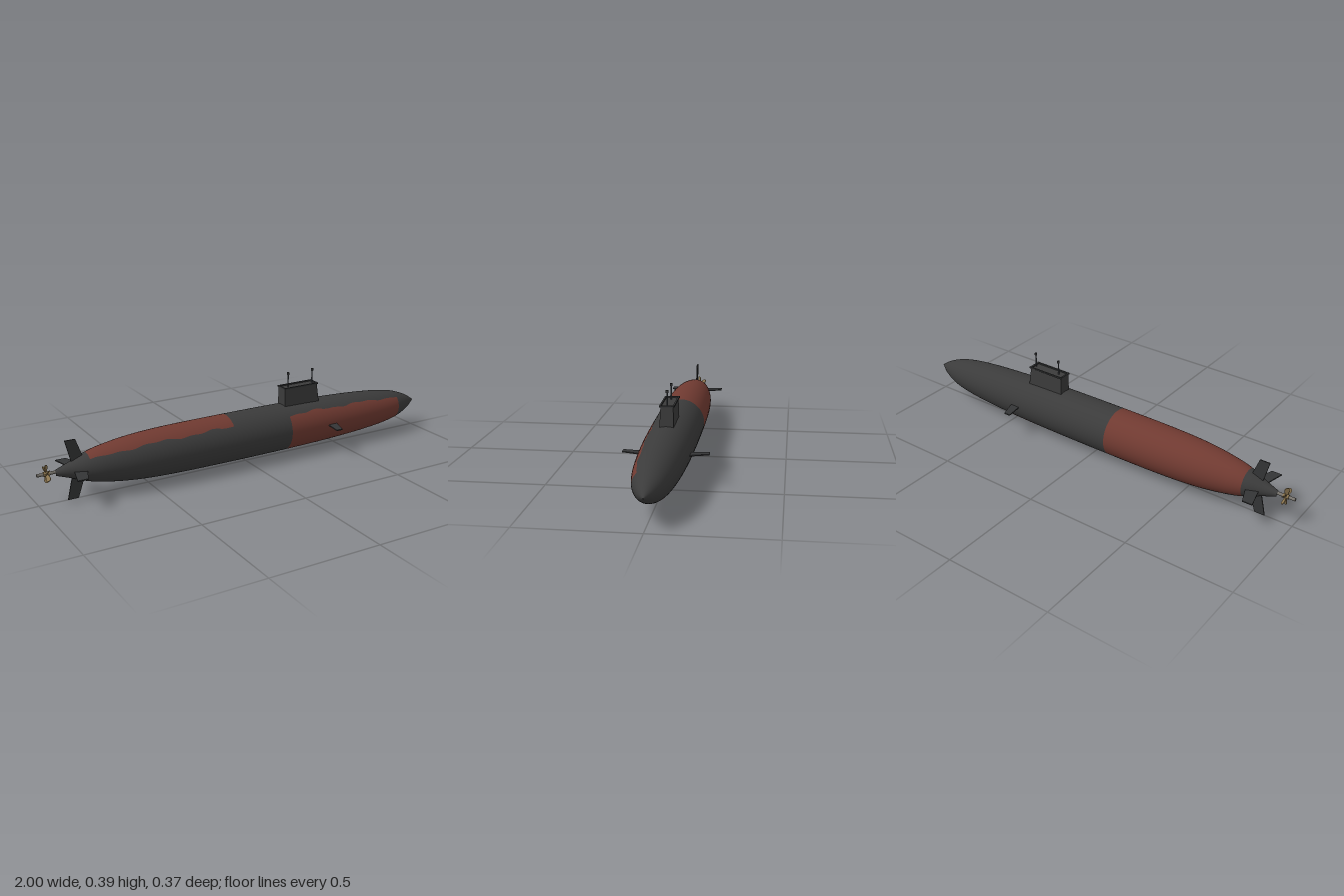
import * as THREE from 'three';
import { ParametricGeometry } from 'three/addons/geometries/ParametricGeometry.js';

const AXIS = 0.133; // height of the hull centreline
const PI = Math.PI;

// hull profile: [x, radius]
const PROFILE = [
  [-0.92, 0.012], [-0.86, 0.033], [-0.79, 0.06], [-0.72, 0.078], [-0.58, 0.098], [-0.4, 0.108], [-0.1, 0.111],
  [0.2, 0.11], [0.45, 0.105], [0.7, 0.091], [0.85, 0.07], [0.94, 0.038], [1.0, 0.0005],
];

// smooth radius between profile points
function radius(x) {
  const p = PROFILE, n = p.length;
  let i = 0;
  while (i < n - 2 && x > p[i + 1][0]) i++;
  const slope = (k) => {
    const a = p[Math.max(k - 1, 0)], b = p[Math.min(k + 1, n - 1)];
    return (b[1] - a[1]) / (b[0] - a[0]);
  };
  const h = p[i + 1][0] - p[i][0];
  const t = (x - p[i][0]) / h, t2 = t * t, t3 = t2 * t;
  return (2 * t3 - 3 * t2 + 1) * p[i][1] + (t3 - 2 * t2 + t) * h * slope(i)
    + (3 * t2 - 2 * t3) * p[i + 1][1] + (t3 - t2) * h * slope(i + 1);
}

// ragged paint edges along the +z upper side and the -z lower side
const wave = (x) => 0.045 * Math.sin(x * 23) + 0.03 * Math.sin(x * 57 + 1);
const upperEdge = (x) => 0.79 + wave(x);
const lowerEdge = (x) => -2.4 + wave(x + 0.35);
const lowerEdgeWrapped = (x) => lowerEdge(x) + 2 * PI;

export function createModel() {
  const model = new THREE.Group();
  const material = (name, color) => {
    const m = new THREE.MeshStandardMaterial({ color });
    m.name = name;
    return m;
  };
  const hullGrey = material('hull grey', 0x3b3b3b);
  const red = material('anti-fouling red', 0x703a31);
  const finGrey = material('fin grey', 0x343536);
  const mastGrey = material('mast grey', 0x4a4e55);
  const brass = material('brass', 0x8c7650);
  const steel = material('shaft steel', 0x77736c);

  const add = (name, geometry, mat, x = 0, y = 0, z = 0, parent = model) => {
    const mesh = new THREE.Mesh(geometry, mat);
    mesh.name = name;
    mesh.position.set(x, y, z);
    parent.add(mesh);
    return mesh;
  };

  // hull, in bands along x, each split in two at the ragged edges
  const hull = new THREE.Group();
  hull.name = 'hull';
  model.add(hull);
  const patch = (name, x0, x1, from, to, mat) => {
    const steps = Math.max(20, Math.round((x1 - x0) * 90));
    const geometry = new ParametricGeometry((u, v, target) => {
      const x = x0 + (x1 - x0) * u;
      const a = from(x) + (to(x) - from(x)) * v;
      const r = radius(x);
      target.set(x, r * Math.sin(a), r * Math.cos(a));
    }, steps, 32);
    add(name, geometry, mat, 0, AXIS, 0, hull);
  };
  const bands = [
    ['stern', -0.92, -0.78, hullGrey, hullGrey],
    ['aftHull', -0.78, -0.105, hullGrey, red],
    ['midHull', -0.105, 0.19, hullGrey, hullGrey],
    ['foreHull', 0.19, 0.855, red, hullGrey],
    ['nose', 0.855, 1.0, hullGrey, hullGrey],
  ];
  for (const [name, x0, x1, lower, upper] of bands) {
    patch(name + 'Lower', x0, x1, lowerEdge, upperEdge, lower);
    patch(name + 'Upper', x0, x1, upperEdge, lowerEdgeWrapped, upper);
  }

  // sail: a box tapered towards the top, its aft face upright
  const sailGeometry = new THREE.BoxGeometry(1, 1, 1);
  const p = sailGeometry.attributes.position;
  for (let i = 0; i < p.count; i++) {
    const top = p.getY(i) > 0;
    const front = p.getX(i) > 0;
    p.setXYZ(i, front ? (top ? 0.377 : 0.392) : 0.197, top ? 0.322 : 0.21,
      Math.sign(p.getZ(i)) * (top ? 0.027 : 0.031));
  }
  sailGeometry.computeVertexNormals();
  add('sail', sailGeometry, hullGrey);

  // raised rim round the sail top
  const rect = (shape, x0, x1, z) => shape.moveTo(x0, -z).lineTo(x1, -z).lineTo(x1, z).lineTo(x0, z).closePath();
  const rimShape = rect(new THREE.Shape(), 0.194, 0.382, 0.032);
  rimShape.holes.push(rect(new THREE.Path(), 0.201, 0.373, 0.025));
  const rimGeometry = new THREE.ExtrudeGeometry(rimShape, { depth: 0.007, bevelEnabled: false });
  rimGeometry.rotateX(-PI / 2);
  add('sailRim', rimGeometry, finGrey, 0, 0.321, 0);

  // masts with small heads
  for (const x of [0.232, 0.367]) {
    add('mast', new THREE.CylinderGeometry(0.003, 0.003, 0.066, 12), mastGrey, x, 0.352, 0);
    add('mastHead', new THREE.CylinderGeometry(0.006, 0.006, 0.011, 12), finGrey, x, 0.387, 0);
  }

  // fins: outline in (x, distance from axis), turned about the axis
  const fin = (name, points, angle, thickness) => {
    const shape = new THREE.Shape(points.map(([x, r]) => new THREE.Vector2(x, r)));
    const geometry = new THREE.ExtrudeGeometry(shape, { depth: thickness, bevelEnabled: false });
    geometry.translate(0, 0, -thickness / 2);
    add(name, geometry, finGrey, 0, AXIS, 0).rotation.x = angle;
  };
  const sternFin = [[-0.845, 0.02], [-0.785, 0.02], [-0.825, 0.133], [-0.872, 0.137 - 0.004]];
  for (let i = 0; i < 4; i++) fin('sternFin', sternFin, i * PI / 2, 0.005);
  const bowPlane = [[0.402, 0.08], [0.453, 0.08], [0.419, 0.185], [0.387, 0.185]];
  for (const side of [1, -1]) fin('bowPlane', bowPlane, side * PI / 2, 0.005);

  // propeller shaft, hub and twisted blades
  const propeller = new THREE.Group();
  propeller.name = 'propeller';
  propeller.position.set(-0.958, AXIS + 0.004, 0);
  model.add(propeller);
  const shaft = new THREE.CylinderGeometry(0.007, 0.007, 0.1, 16).rotateZ(PI / 2);
  add('propellerShaft', shaft, steel, 0.008, 0, 0, propeller);
  const hub = new THREE.CylinderGeometry(0.01, 0.01, 0.026, 16).rotateZ(PI / 2);
  add('propellerHub', hub, brass, 0, 0, 0, propeller);
  const BLADES = 6;
  for (let i = 0; i < BLADES; i++) {
    const blade = new THREE.Shape();
    blade.moveTo(-0.006, 0.006).lineTo(0.006, 0.006).lineTo(0.011, 0.03)
      .quadraticCurveTo(0.008, 0.04, 0, 0.04).quadraticCurveTo(-0.01, 0.04, -0.011, 0.03).closePath();
    const geometry = new THREE.ExtrudeGeometry(blade, { depth: 0.003, bevelEnabled: false, curveSegments: 5 });
    geometry.translate(0, 0, -0.0015);
    geometry.rotateY(0.75);
    add('propellerBlade', geometry, brass, 0, 0, 0, propeller).rotation.x = (i / BLADES) * 2 * PI;
  }
  return model;
}
